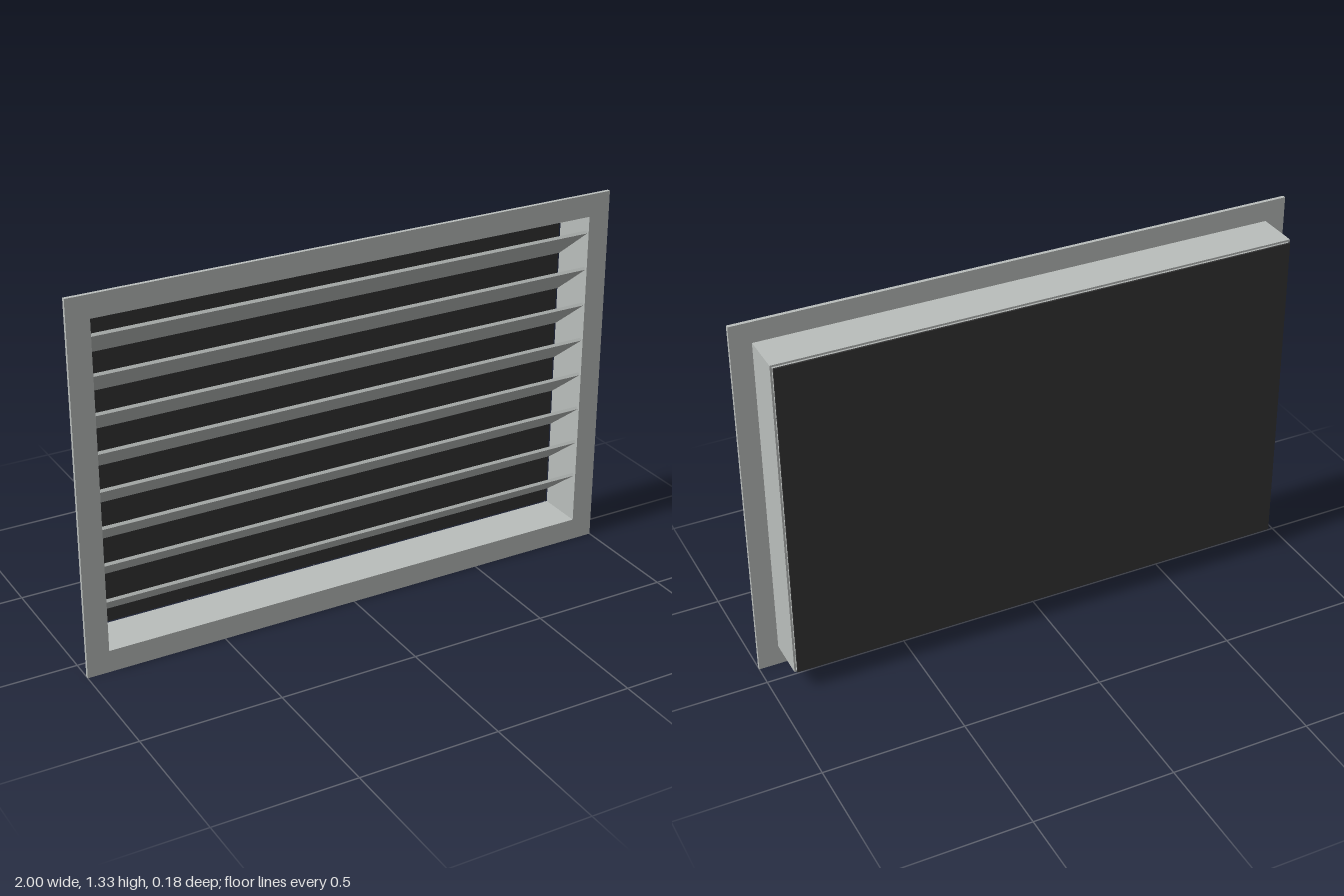
import * as THREE from 'three';

const MID_Y = 0.6667;

// Rectangular ring, extruded from z0 to z1
function ring(outerW, outerH, innerW, innerH, z0, z1) {
  const rect = (path, w, h) => {
    path.moveTo(-w, -h).lineTo(w, -h).lineTo(w, h).lineTo(-w, h).closePath();
    return path;
  };
  const shape = rect(new THREE.Shape(), outerW, outerH);
  shape.holes.push(rect(new THREE.Path(), innerW, innerH));
  const geo = new THREE.ExtrudeGeometry(shape, { depth: z1 - z0, bevelEnabled: false });
  return geo.translate(0, MID_Y, z0);
}

export function createModel() {
  const group = new THREE.Group();
  group.name = 'louvreVent';

  const metal = new THREE.MeshStandardMaterial({ color: 0xbabebc });
  metal.name = 'light grey metal';
  const dark = new THREE.MeshStandardMaterial({ color: 0x333333 });
  dark.name = 'dark mesh';

  const add = (name, geo, mat) => {
    const mesh = new THREE.Mesh(geo, mat);
    mesh.name = name;
    group.add(mesh);
    return mesh;
  };

  // Front flange and the wall sleeve behind it
  add('flange', ring(1, MID_Y, 0.92, 0.5867, 0.0767, 0.09), metal);
  add('sleeve', ring(0.9267, 0.5933, 0.92, 0.5867, -0.0767, 0.0767), metal);

  // Thin screen closing the back
  add('backScreen', new THREE.BoxGeometry(1.84, 1.173, 0.0065).translate(0, MID_Y, -0.0867), dark);

  // Eight blades, front edge high and back edge low
  const blade = new THREE.BoxGeometry(1.84, 0.0107, 0.2);
  blade.rotateX(THREE.MathUtils.degToRad(-38));
  for (let i = 0; i < 8; i++) {
    add(`blade${i + 1}`, blade, metal).position.y = MID_Y + (i - 3.5) * 0.1333;
  }

  return group;
}
